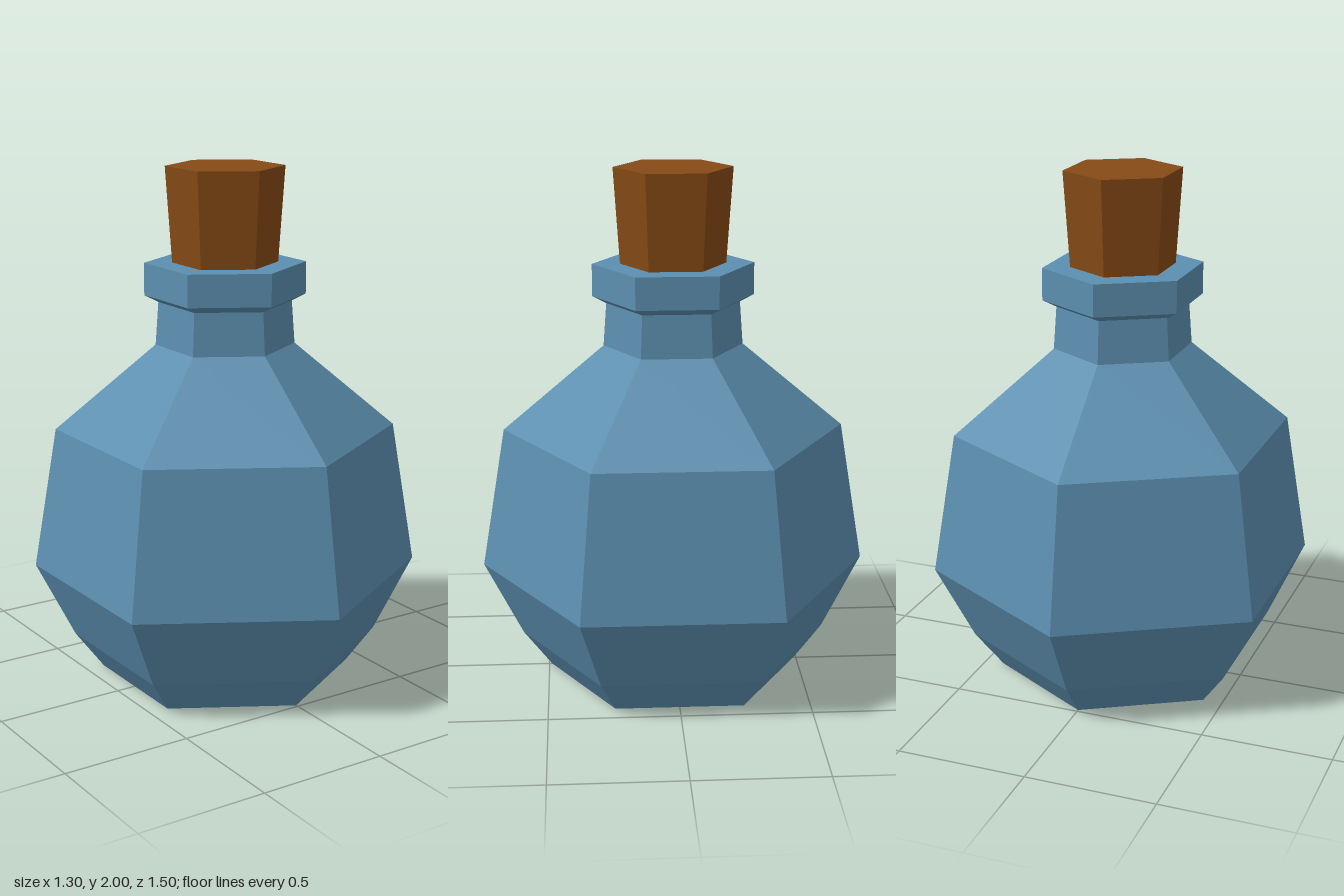
import * as THREE from 'three';

const SIDES = 6;

// Faceted turned part from [radius, height] pairs, listed bottom to top
function turned(name, profile, color) {
  const points = profile.map(([r, y]) => new THREE.Vector2(r, y));
  const mesh = new THREE.Mesh(
    new THREE.LatheGeometry(points, SIDES),
    new THREE.MeshStandardMaterial({ color, flatShading: true })
  );
  mesh.name = name;
  return mesh;
}

export function createModel() {
  const group = new THREE.Group();
  group.name = 'corkedFlask';

  // Closed base, round belly, sloping shoulder and narrow neck
  group.add(turned('bottle', [
    [0, 0], [0.49, 0], [0.6, 0.14], [0.75, 0.435],
    [0.657, 0.99], [0.267, 1.32], [0.255, 1.485]
  ], 0x5c8fb0));

  // Collar with a bevelled underside and flat top
  group.add(turned('collar', [
    [0.255, 1.485], [0.308, 1.512], [0.308, 1.636], [0.19, 1.636]
  ], 0x5c8fb0));

  // Cork, widening upwards
  group.add(turned('cork', [
    [0, 1.6], [0.199, 1.6], [0.226, 2], [0, 2]
  ], 0x864a16));

  return group;
}
